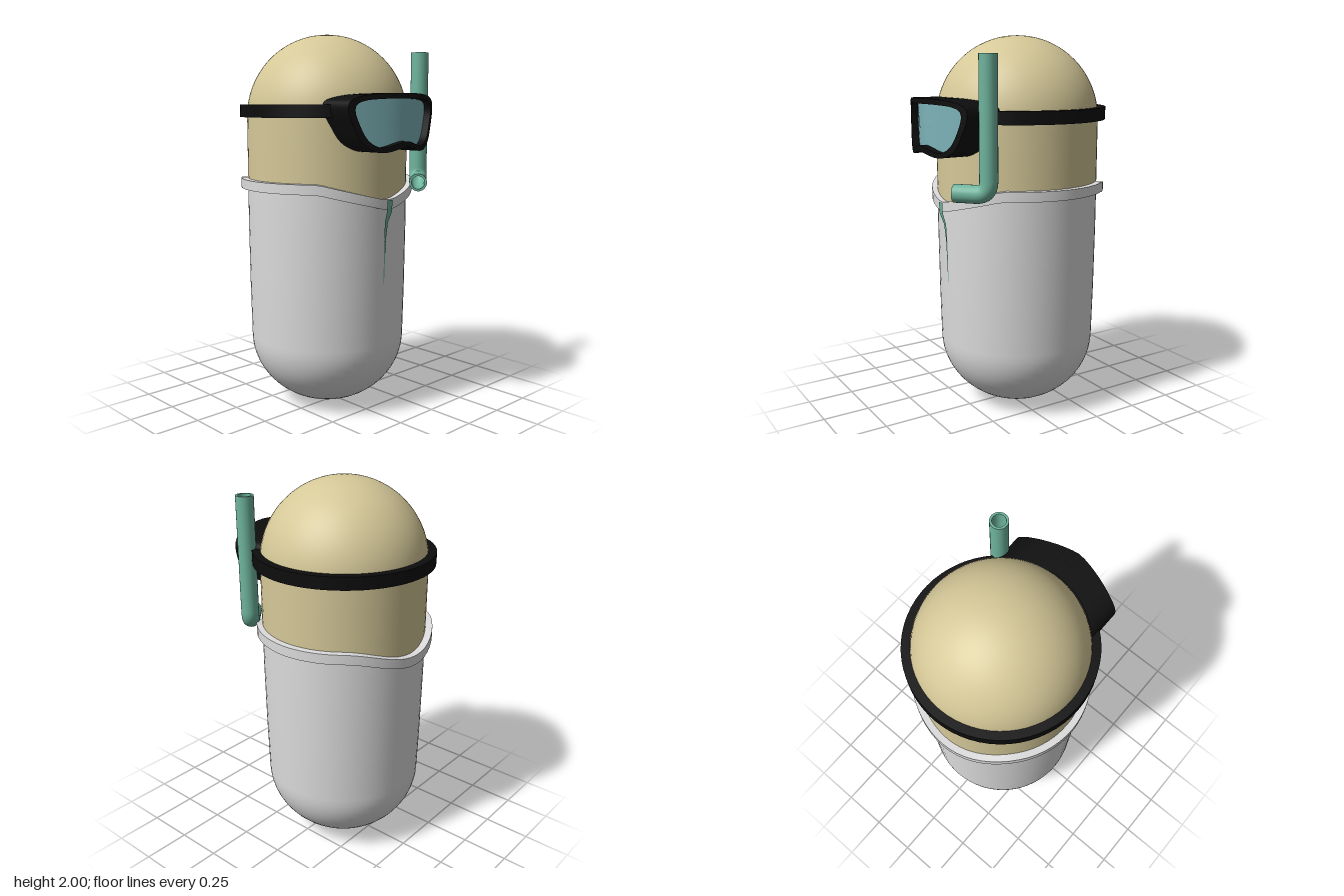
import * as THREE from 'three';
import { toCreasedNormals } from 'three/addons/utils/BufferGeometryUtils.js';

const CZ = -0.058; // z of the body axis
const SEG = 64;
const V = (x, y, z) => new THREE.Vector3(x, y, z);

const mat = (name, color, side = THREE.FrontSide) => {
  const m = new THREE.MeshStandardMaterial({ color, side });
  m.name = name;
  return m;
};

// Skin a list of closed rings (arrays of Vector3 of equal length)
function loft(rings, crease = 0.6) {
  const n = rings[0].length, idx = [];
  for (let i = 0; i < rings.length - 1; i++) {
    for (let j = 0; j < n; j++) {
      const k = (j + 1) % n;
      const a = i * n + j, b = i * n + k, c = a + n, d = b + n;
      idx.push(a, b, d, a, d, c);
    }
  }
  const g = new THREE.BufferGeometry().setFromPoints(rings.flat());
  g.setIndex(idx);
  return toCreasedNormals(g, crease);
}

// Circle around the body axis; y and r are functions of the angle from the front
const ring = (r, y) => Array.from({ length: SEG }, (_, i) => {
  const a = (i / SEG) * Math.PI * 2;
  return V(r(a) * Math.sin(a), y(a), CZ + r(a) * Math.cos(a));
});

// Drop of the collar: sharp V at the front, soft dip at the back
function dip(angle) {
  const a = Math.abs(Math.atan2(Math.sin(angle), Math.cos(angle)));
  const front = 0.092 * Math.max(0, 1 - Math.max(a, 0.05) / 0.85);
  const b = Math.PI - a;
  const back = b < 0.9 ? 0.075 * 0.5 * (1 + Math.cos((b / 0.9) * Math.PI)) : 0;
  return -front - back;
}

// Lathe whose vertices at height edgeY follow the collar line
function bodyPart(points, edgeY) {
  const g = new THREE.LatheGeometry(points.map(([x, y]) => new THREE.Vector2(x, y)), SEG);
  const p = g.attributes.position;
  for (let i = 0; i < p.count; i++) {
    if (Math.abs(p.getY(i) - edgeY) < 1e-4) p.setY(i, edgeY + dip(Math.atan2(p.getX(i), p.getZ(i))));
  }
  return g.translate(0, 0, CZ);
}

// Mirrored smooth outline, counterclockwise, from half a profile
function outline(half) {
  const mirrored = half.slice(1, -1).reverse().map(([x, y]) => [-x, y]);
  const pts = [...half, ...mirrored].map(([x, y]) => V(x, y, 0));
  return new THREE.CatmullRomCurve3(pts, true).getPoints(80).slice(0, 80);
}

export function createModel() {
  const group = new THREE.Group();
  const skin = mat('tan', 0xd5c898);
  const suit = mat('light grey', 0xdcdcdc);
  const black = mat('black', 0x0d0d0d, THREE.DoubleSide);
  const teal = mat('sea green', 0x6fb59e, THREE.DoubleSide);
  const glass = mat('glass blue', 0x7db3b8, THREE.DoubleSide);
  const add = (name, geometry, material) => {
    const m = new THREE.Mesh(geometry, material);
    m.name = name;
    group.add(m);
    return m;
  };

  // Capsule body: grey suit below, tan head above
  const arc = (n, f) => Array.from({ length: n + 1 }, (_, i) => f((i / n) * Math.PI / 2));
  const suitProfile = arc(16, t => [0.42 * Math.sin(t), 0.38 * (1 - Math.cos(t))]);
  suitProfile.push([0.426, 0.65], [0.43, 1.0], [0.43, 1.22]);
  add('suit', bodyPart(suitProfile, 1.22), suit);
  const headProfile = [[0.43, 1.22], [0.43, 1.4], ...arc(20, t => [0.43 * Math.cos(t), 1.57 + 0.43 * Math.sin(t)])];
  add('head', bodyPart(headProfile, 1.22), skin);

  // Bands of rectangular section: collar and mask strap
  const band = (inner, outer, low, high) => loft([
    ring(outer, low), ring(outer, high), ring(inner, high), ring(inner, low), ring(outer, low),
  ]);
  const collarOuter = a => 0.466 - 0.008 * Math.max(0, Math.cos(a));
  add('collar', band(() => 0.425, collarOuter, a => 1.195 + dip(a), a => 1.246 + dip(a)), suit);
  add('maskStrap', band(() => 0.42, () => 0.468, () => 1.57, () => 1.635), black);

  // Mask: frame bowed across x, with a recessed lens
  const outer = outline([[0, 1.43], [0.05, 1.42], [0.12, 1.405], [0.18, 1.412], [0.24, 1.452], [0.28, 1.53],
    [0.307, 1.61], [0.297, 1.65], [0.25, 1.673], [0.15, 1.687], [0, 1.69]]);
  const inner = outline([[0, 1.457], [0.05, 1.448], [0.12, 1.43], [0.17, 1.436], [0.215, 1.468], [0.25, 1.53],
    [0.274, 1.605], [0.266, 1.635], [0.23, 1.652], [0.15, 1.661], [0, 1.664]]);
  const bow = x => -0.105 * Math.pow(Math.abs(x) / 0.31, 1.4);
  const place = (pts, f) => pts.map(p => V(p.x, p.y, f(p.x)));
  const lensZ = x => 0.48 + bow(x);
  add('maskFrame', loft([
    place(outer, x => CZ + Math.sqrt(0.42 ** 2 - x * x)),
    place(outer, x => 0.522 + bow(x)),
    place(inner, x => 0.522 + bow(x)),
    place(inner, x => lensZ(x) - 0.01),
  ]), black);
  const lensRings = [1, 0.8, 0.6, 0.4, 0.2, 0.001].map(s =>
    inner.map(p => V(p.x * s, 1.56 + (p.y - 1.56) * s, lensZ(p.x * s))));
  add('maskLens', loft(lensRings, 1.2), glass);

  // Snorkel: hollow pipe with a bend towards the mouth
  const top = V(0.325, 1.905, 0.313), corner = V(0.325, 1.235, 0.313), mouth = V(0.19, 1.235, 0.43);
  const bendIn = V(0.325, 1.3, 0.313);
  const bendOut = corner.clone().lerp(mouth, 0.36);
  const path = new THREE.CurvePath();
  path.add(new THREE.LineCurve3(top, bendIn));
  path.add(new THREE.QuadraticBezierCurve3(bendIn, corner, bendOut));
  path.add(new THREE.LineCurve3(bendOut, mouth));
  add('snorkelOuter', new THREE.TubeGeometry(path, 80, 0.046, 24), teal);
  add('snorkelInner', new THREE.TubeGeometry(path, 80, 0.034, 24), teal);
  for (const [end, dir] of [[top, V(0, 1, 0)], [mouth, mouth.clone().sub(corner).normalize()]]) {
    const rim = add('snorkelRim', new THREE.RingGeometry(0.034, 0.046, 24), teal);
    rim.position.copy(end);
    rim.quaternion.setFromUnitVectors(V(0, 0, 1), dir);
  }

  // Zip: tapered strip down the chest, [half width, y, z]
  const zip = [[0.018, 1.157, 0.408], [0.019, 1.1, 0.406], [0.011, 1.04, 0.385], [0.006, 0.95, 0.377],
    [0.004, 0.85, 0.374], [0.002, 0.72, 0.371]];
  const zipGeo = new THREE.PlaneGeometry(1, 1, 1, zip.length - 1);
  zip.forEach(([w, y, z], i) => {
    zipGeo.attributes.position.setXYZ(i * 2, -w, y, z);
    zipGeo.attributes.position.setXYZ(i * 2 + 1, w, y, z);
  });
  zipGeo.computeVertexNormals();
  add('zip', zipGeo, teal);

  return group;
}
